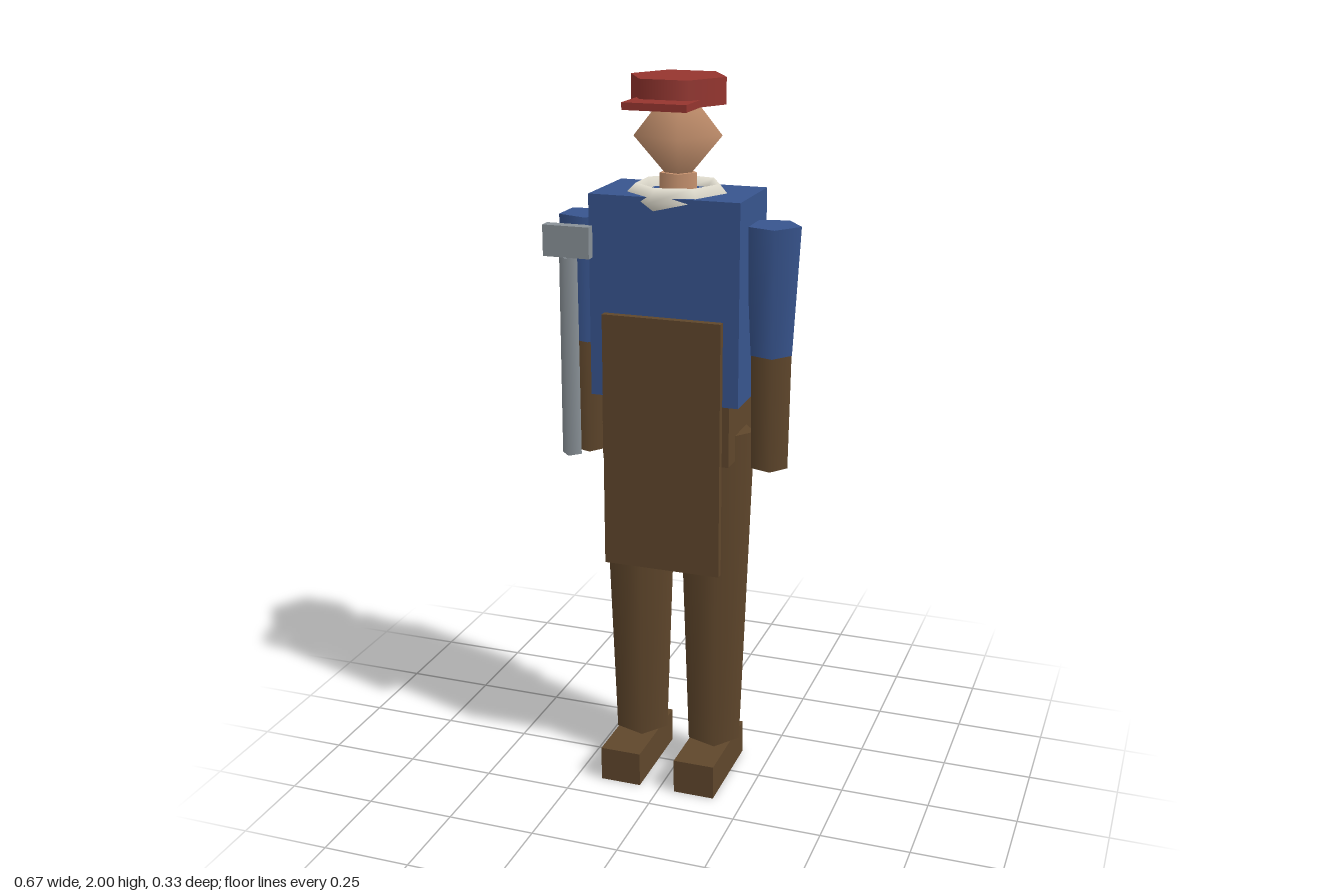
import * as THREE from 'three';

const CX = -0.0065; // body axis
const CZ = -0.022;

function makeMaterial(name, color) {
  const m = new THREE.MeshStandardMaterial({ color });
  m.name = name;
  return m;
}

export function createModel() {
  const blue = makeMaterial('blue cloth', 0x38558f);
  const brown = makeMaterial('brown leather', 0x60472c);
  const red = makeMaterial('red felt', 0x96352f);
  const skin = makeMaterial('skin', 0xc99470);
  const cream = makeMaterial('cream cloth', 0xe4e0d2);
  const grey = makeMaterial('grey metal', 0x8a9298);

  const model = new THREE.Group();
  model.name = 'worker';

  function add(name, geometry, material, x = 0, y = 0, z = 0) {
    const mesh = new THREE.Mesh(geometry, material);
    mesh.name = name;
    mesh.position.set(x, y, z);
    model.add(mesh);
    return mesh;
  }

  // Box given by its limits on each axis
  function box(name, material, [x0, x1], [y0, y1], [z0, z1]) {
    return add(name, new THREE.BoxGeometry(x1 - x0, y1 - y0, z1 - z0), material,
      (x0 + x1) / 2, (y0 + y1) / 2, (z0 + z1) / 2);
  }

  // Upright tapered prism with one corner pointing to +x
  function prism(name, material, rTop, rBottom, y0, y1, x, z, sides = 5) {
    const g = new THREE.CylinderGeometry(rTop, rBottom, y1 - y0, sides, 1, false, Math.PI / 2);
    return add(name, g, material, x, (y0 + y1) / 2, z);
  }

  // Body
  box('torso', blue, [-0.215, 0.203], [1.15, 1.7], [-0.143, 0.099]);
  box('hips', brown, [-0.188, 0.175], [0.977, 1.16], [-0.131, 0.088]);
  box('apron', brown, [-0.173, 0.16], [0.667, 1.383], [0.101, 0.122]);

  // Limbs
  for (const [label, s] of [['left', 1], ['right', -1]]) {
    const armX = CX + s * 0.2635;
    prism(label + 'UpperArm', blue, 0.0767, 0.058, 1.275, 1.625, armX, CZ);
    prism(label + 'Forearm', brown, 0.057, 0.0525, 0.955, 1.275, armX, CZ);
    const legX = CX + s * 0.111;
    prism(label + 'Leg', brown, 0.11, 0.077, 0.1, 1.05, legX, CZ);
    box(label + 'Shoe', brown, [legX - 0.059, legX + 0.059], [0, 0.1], [-0.12, 0.166]);
  }

  // Neck, collar and head
  prism('neck', skin, 0.052, 0.052, 1.67, 1.75, CX, CZ);
  const collar = new THREE.TorusGeometry(0.113, 0.035, 4, 7);
  collar.rotateX(Math.PI / 2);
  add('collar', collar, cream, CX, 1.688, CZ);
  const head = new THREE.SphereGeometry(0.122, 5, 2);
  head.scale(1, 1.19, 1);
  head.rotateY(Math.PI);
  add('head', head, skin, CX, 1.85, CZ);

  // Cap
  prism('capCrown', red, 0.1315, 0.1315, 1.93, 2, CX, CZ, 6);
  box('capBrim', red, [-0.093, 0.08], [1.93, 1.949], [0.03, 0.166]);

  // Hammer
  prism('hammerHandle', grey, 0.026, 0.028, 0.977, 1.53, -0.271, 0.11, 4);
  box('hammerHead', grey, [-0.337, -0.205], [1.53, 1.615], [0.093, 0.126]);

  return model;
}
